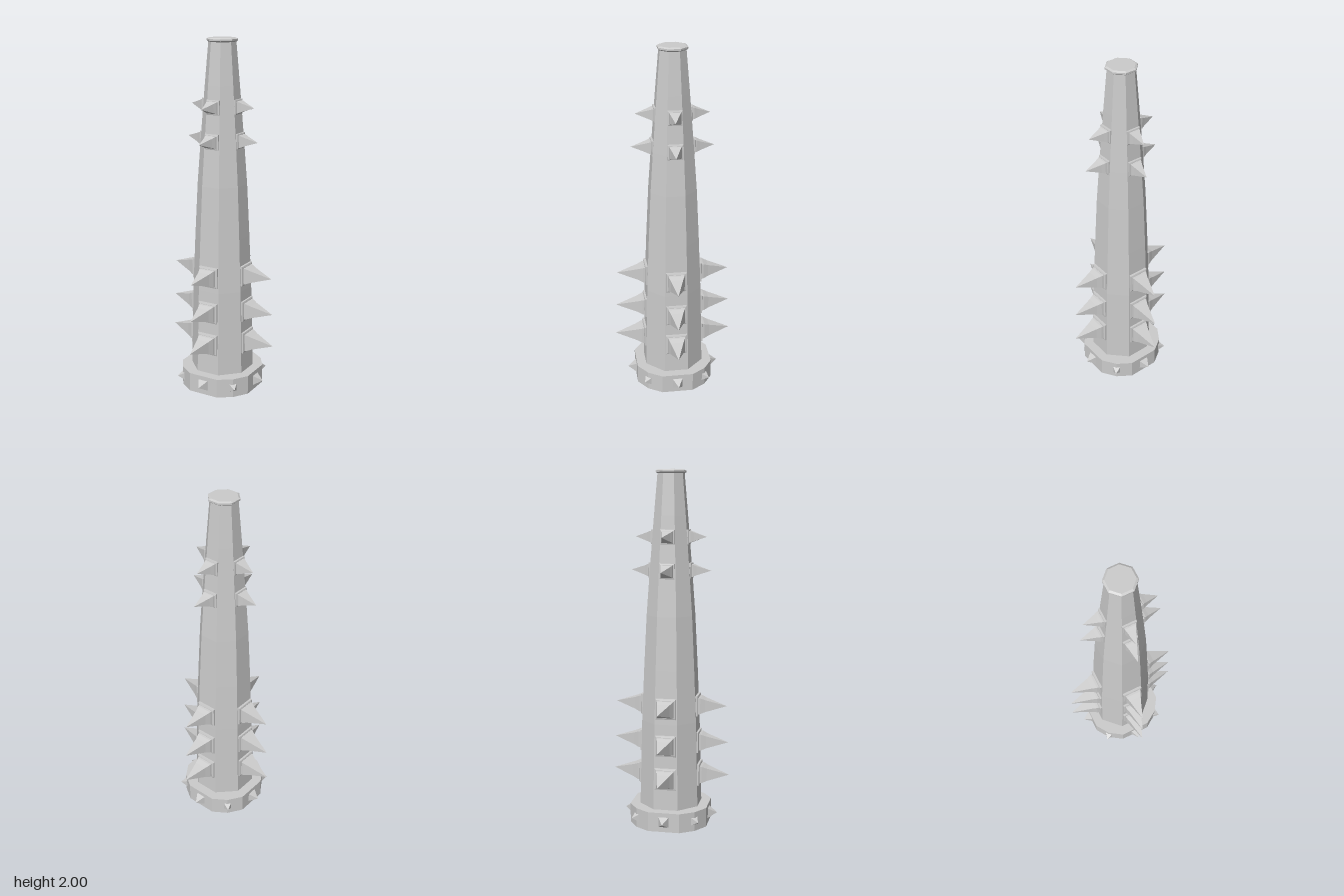
import * as THREE from 'three';

const material = new THREE.MeshStandardMaterial({ color: 0xcccccc, flatShading: true });

// Faceted solid from [apothem, height] pairs, one flat side facing +z
function faceted(profile, sides) {
  const k = 1 / Math.cos(Math.PI / sides);
  const points = profile.map(([r, h]) => new THREE.Vector2(r * k, h));
  return new THREE.LatheGeometry(points, sides, Math.PI / sides);
}

function part(name, geometry) {
  const mesh = new THREE.Mesh(geometry, material);
  mesh.name = name;
  return mesh;
}

// Square spike pointing along +z; its tip leans slightly sideways
function spikeGeometry(profile, lean = 0) {
  const geometry = faceted(profile, 4).rotateX(Math.PI / 2);
  const start = profile[0][1], end = profile[profile.length - 1][1];
  const p = geometry.attributes.position;
  for (let i = 0; i < p.count; i++) {
    p.setX(i, p.getX(i) + lean * (p.getZ(i) - start) / (end - start));
  }
  return geometry;
}

export function createModel() {
  const model = new THREE.Group();
  model.name = 'spikedClub';

  // Tapered octagonal shaft
  model.add(part('shaft', faceted([
    [0, 0.1], [0.167, 0.1], [0.155, 0.6], [0.143, 0.9], [0.129, 1.2],
    [0.113, 1.43], [0.089, 1.75], [0.07, 1.985], [0, 1.985],
  ], 8)));

  // Thin bevelled rim at the top
  model.add(part('topRim', faceted([
    [0, 1.978], [0.07, 1.978], [0.079, 1.985], [0.079, 1.994], [0.069, 2], [0, 2],
  ], 8)));

  // Twelve-sided base collar with wider sides on the axes
  const corners = [];
  for (let quarter = 0; quarter < 4; quarter++) {
    for (const degrees of [22, 45, 68]) {
      const a = THREE.MathUtils.degToRad(quarter * 90 + degrees);
      corners.push(new THREE.Vector2(0.238 * Math.cos(a), 0.238 * Math.sin(a)));
    }
  }
  const collar = new THREE.ExtrudeGeometry(new THREE.Shape(corners), { depth: 0.11, bevelEnabled: false });
  model.add(part('baseCollar', collar.rotateX(-Math.PI / 2)));

  // Eight pyramid studs around the collar
  const stud = spikeGeometry([[0.03, 0.215], [0.028, 0.222], [0, 0.27]]);
  for (let i = 0; i < 8; i++) {
    const mesh = part('collarStud', stud);
    mesh.position.y = 0.057;
    mesh.rotation.y = i * Math.PI / 4;
    model.add(mesh);
  }

  // Rows of large spikes: height, shaft radius, plate half width, tip radius
  const rows = [
    [0.29, 0.163, 0.061, 0.338],
    [0.48, 0.158, 0.059, 0.332],
    [0.69, 0.153, 0.058, 0.322],
    [1.45, 0.112, 0.042, 0.228],
    [1.635, 0.098, 0.04, 0.203],
  ];
  for (const [y, r, w, tip] of rows) {
    const plate = spikeGeometry([
      [0, r - 0.03], [w, r - 0.03], [w, r + w * 0.15], [w * 0.85, r + w * 0.2], [0, r + w * 0.2],
    ]);
    const point = spikeGeometry([
      [w * 0.82, r + w * 0.15], [w * 0.78, r + w * 0.4], [w * 0.6, r + w * 0.85], [0, tip],
    ], -0.012);
    for (let i = 0; i < 4; i++) {
      const spike = new THREE.Group();
      spike.name = 'spike';
      spike.add(part('spikePlate', plate), part('spikePoint', point));
      spike.position.y = y;
      spike.rotation.y = i * Math.PI / 2;
      model.add(spike);
    }
  }
  return model;
}
